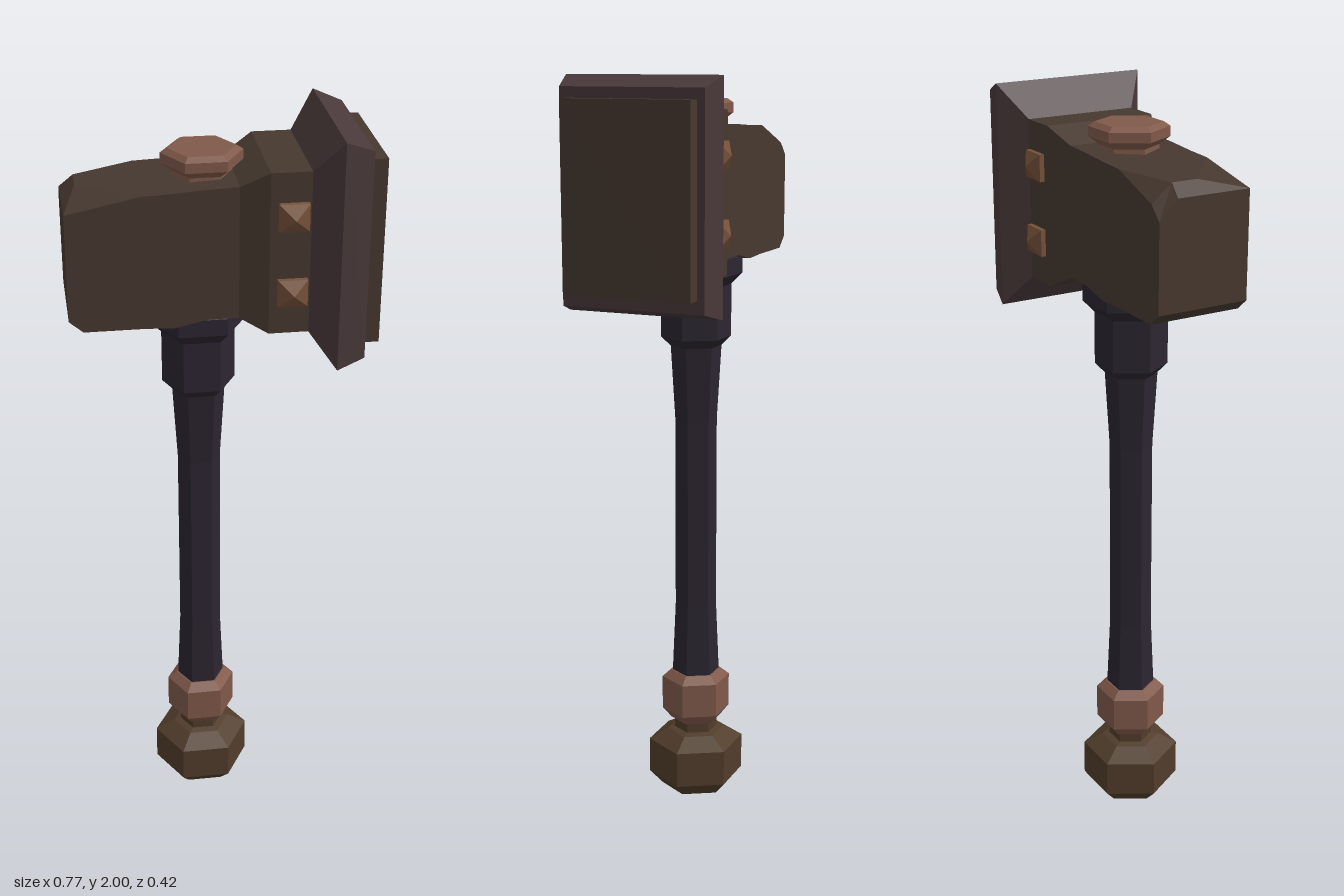
import * as THREE from 'three';

const paint = (color) => new THREE.MeshStandardMaterial({ color, flatShading: true });

function part(parent, name, geometry, material) {
  const flat = geometry.index ? geometry.toNonIndexed() : geometry;
  flat.computeVertexNormals();
  const mesh = new THREE.Mesh(flat, material);
  mesh.name = name;
  parent.add(mesh);
  return mesh;
}

// Six-sided turned piece from [radius, height] pairs, corners on the x axis
function hexLathe(profile) {
  const pts = profile.map(([r, y]) => new THREE.Vector2(r, y));
  pts.unshift(new THREE.Vector2(0, pts[0].y));
  pts.push(new THREE.Vector2(0, pts[pts.length - 1].y));
  return new THREE.LatheGeometry(pts, 6, Math.PI / 2);
}

// Skin over closed rings of [x, y, z] that run along +x; each end closes on a centre point
function loft(rings, endBulge = 0) {
  const n = rings[0].length;
  const pos = rings.flat(2);
  const index = [];
  for (let i = 0; i < rings.length - 1; i++) {
    for (let j = 0; j < n; j++) {
      const a = i * n + j, b = i * n + (j + 1) % n;
      index.push(a, b, b + n, a, b + n, a + n);
    }
  }
  const addEnd = (ring, base, flip, bulge) => {
    const ys = ring.map((p) => p[1]);
    const centre = pos.length / 3;
    pos.push(ring[0][0] + bulge, (Math.min(...ys) + Math.max(...ys)) / 2, 0);
    for (let j = 0; j < n; j++) {
      const a = base + j, b = base + (j + 1) % n;
      index.push(centre, ...(flip ? [b, a] : [a, b]));
    }
  };
  addEnd(rings[0], 0, true, 0);
  addEnd(rings[rings.length - 1], (rings.length - 1) * n, false, endBulge);
  const g = new THREE.BufferGeometry();
  g.setAttribute('position', new THREE.Float32BufferAttribute(pos, 3));
  g.setIndex(index);
  return g;
}

// Block section; the top corners may be chipped: z of the top edge and drop down the side
function section(x, bottom, top, half, backZ = -half, backDrop = 0, frontZ = half, frontDrop = 0) {
  return [
    [x, top, backZ], [x, top, frontZ], [x, top - frontDrop, half],
    [x, bottom, half], [x, bottom, -half], [x, top - backDrop, -half],
  ];
}

export function createModel() {
  const model = new THREE.Group();
  model.name = 'warHammer';
  const headMat = paint(0x46382f);
  const rimMat = paint(0x49393a);
  const shaftMat = paint(0x2b2530);
  const copperMat = paint(0x80594a);
  const bronzeMat = paint(0x513d2b);
  const rivetMat = paint(0x765139);

  // Handle, from the pommel up
  const handle = new THREE.Group();
  handle.name = 'handle';
  handle.position.x = -0.052;
  model.add(handle);
  part(handle, 'pommel', hexLathe([[0.095, 0], [0.133, 0.04], [0.133, 0.14], [0.08, 0.17], [0.06, 0.175], [0.06, 0.22]]), bronzeMat);
  part(handle, 'lowerCollar', hexLathe([[0.07, 0.205], [0.095, 0.235], [0.095, 0.33], [0.07, 0.35]]), copperMat);
  part(handle, 'shaft', hexLathe([[0.066, 0.34], [0.057, 0.55], [0.057, 1.08], [0.07, 1.3]]), shaftMat);
  part(handle, 'upperCollar', hexLathe([[0.07, 1.285], [0.095, 1.31], [0.095, 1.45], [0.125, 1.48], [0.125, 1.525], [0.1, 1.55]]), shaftMat);

  // Head block with a chipped rear end and a thicker band at the front
  const head = new THREE.Group();
  head.name = 'head';
  model.add(head);
  part(head, 'headBlock', loft([
    section(-0.385, 1.55, 1.825, 0.125, -0.075, 0.05),
    section(-0.35, 1.52, 1.855, 0.125, -0.07, 0.045, 0, 0.023),
    section(-0.2, 1.52, 1.863, 0.125),
    section(-0.125, 1.517, 1.866, 0.125),
    section(-0.04, 1.535, 1.872, 0.125),
    section(0.035, 1.535, 1.875, 0.125),
    section(0.105, 1.5, 1.915, 0.152),
    section(0.205, 1.5, 1.915, 0.152),
  ]), headMat);

  // Flared rim and striking plate
  part(head, 'flaredRim', loft([
    section(0.205, 1.5, 1.915, 0.152),
    section(0.27, 1.415, 2.0, 0.21),
    section(0.342, 1.437, 1.972, 0.192),
  ]), rimMat);
  part(head, 'strikingPlate', loft([
    section(0.335, 1.47, 1.945, 0.172),
    section(0.381, 1.47, 1.945, 0.172),
  ], 0.004), headMat);

  // Hexagonal cap over the end of the handle
  const cap = part(head, 'topCap', hexLathe([[0.075, 1.86], [0.075, 1.88], [0.102, 1.9], [0.102, 1.925], [0.085, 1.936]]), copperMat);
  cap.position.x = -0.04;

  // Pyramid rivets on both sides of the band
  for (const side of [1, -1]) {
    for (const y of [1.61, 1.805]) {
      const rivet = new THREE.Group();
      rivet.name = side > 0 ? 'frontRivet' : 'backRivet';
      rivet.position.set(0.162, y, side * 0.15);
      if (side < 0) rivet.rotation.y = Math.PI;
      head.add(rivet);
      part(rivet, 'rivetBase', new THREE.BoxGeometry(0.074, 0.07, 0.03), rivetMat);
      const tip = new THREE.ConeGeometry(0.037 * Math.SQRT2, 0.022, 4, 1, true, Math.PI / 4);
      tip.rotateX(Math.PI / 2).scale(1, 0.946, 1);
      part(rivet, 'rivetTip', tip, rivetMat).position.z = 0.026;
    }
  }
  return model;
}
